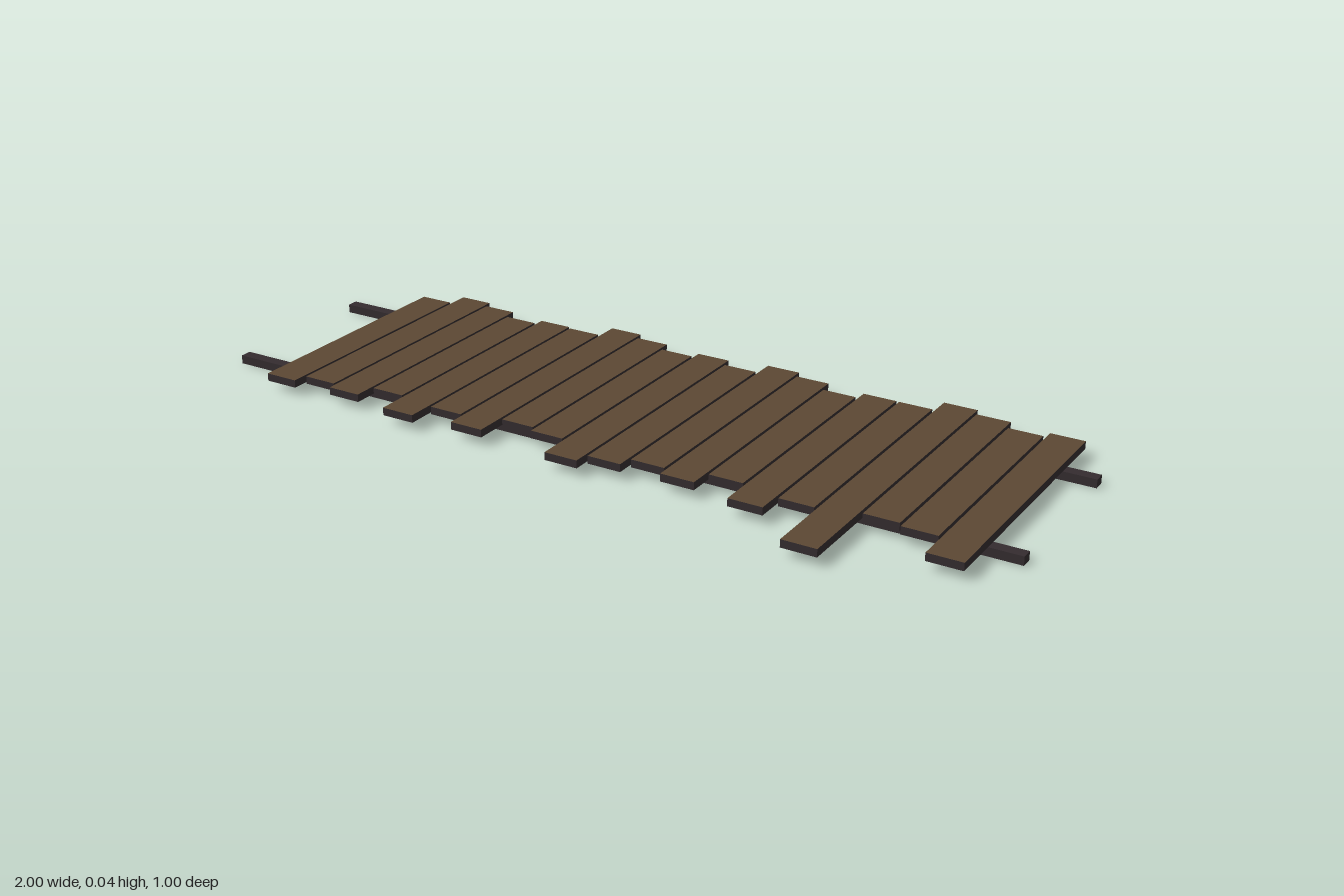
import * as THREE from 'three';

const ANGLE = 10.2 * Math.PI / 180;
const RAIL_H = 0.02, PLANK_H = 0.018, PLANK_W = 0.08, PITCH = 0.0868, FIRST = -0.792;

// back and front z of each plank, from right to left
const PLANK_ENDS = [
  [-0.461, 0.122], [-0.493, 0.106], [-0.456, 0.143], [-0.407, 0.111], [-0.413, 0.202],
  [-0.391, 0.159], [-0.429, 0.218], [-0.391, 0.165], [-0.343, 0.197], [-0.349, 0.288],
  [-0.306, 0.272], [-0.338, 0.256], [-0.300, 0.298], [-0.247, 0.266], [-0.258, 0.357],
  [-0.242, 0.320], [-0.274, 0.490], [-0.236, 0.325], [-0.188, 0.352], [-0.194, 0.443],
];

export function createModel() {
  const model = new THREE.Group();
  model.name = 'plankWalkway';
  const brown = new THREE.MeshStandardMaterial({ color: 0x5c4833 });
  brown.name = 'brownWood';
  const dark = new THREE.MeshStandardMaterial({ color: 0x342c2f });
  dark.name = 'darkWood';

  // the whole walkway lies slightly turned
  const deck = new THREE.Group();
  deck.name = 'deck';
  deck.rotation.y = -ANGLE;
  model.add(deck);

  const addBox = (name, size, position, material) => {
    const mesh = new THREE.Mesh(new THREE.BoxGeometry(...size), material);
    mesh.name = name;
    mesh.position.set(...position);
    deck.add(mesh);
  };

  // two long rails under the planks
  addBox('backRail', [1.96, RAIL_H, 0.027], [-0.008, RAIL_H / 2, -0.233], dark);
  addBox('frontRail', [1.96, RAIL_H, 0.027], [-0.008, RAIL_H / 2, 0.167], dark);

  // planks of uneven length: brown faces, dark edges
  const plankMaterials = [dark, dark, brown, brown, dark, dark];
  PLANK_ENDS.forEach(([back, front], i) => {
    const along = FIRST + i * PITCH;
    const across = z => (z - along * Math.sin(ANGLE)) / Math.cos(ANGLE);
    const a = across(back), b = across(front);
    addBox(`plank${i + 1}`, [PLANK_W, PLANK_H, b - a],
      [along, RAIL_H + PLANK_H / 2, (a + b) / 2], plankMaterials);
  });

  return model;
}
